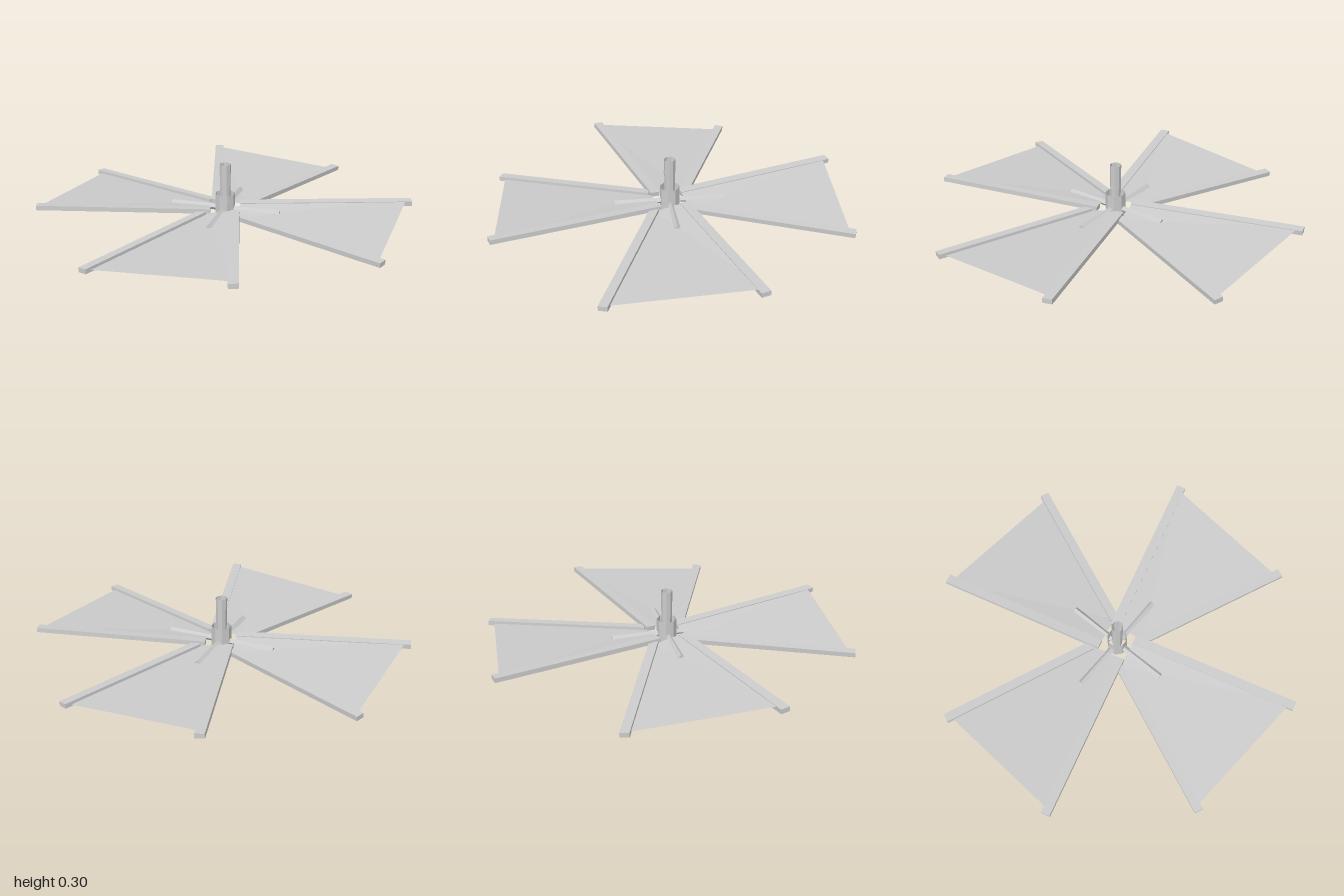
import * as THREE from 'three';

const mat = new THREE.MeshStandardMaterial({ color: 0xcccccc, flatShading: true, side: THREE.DoubleSide });

function add(parent, name, geometry) {
  const mesh = new THREE.Mesh(geometry, mat);
  mesh.name = name;
  parent.add(mesh);
  return mesh;
}

// Rectangular beam between two points [x, z] of the blade plane
function addBeam(parent, name, [x0, z0], [x1, z1], width, height) {
  const beam = add(parent, name, new THREE.BoxGeometry(Math.hypot(x1 - x0, z1 - z0), height, width));
  beam.position.set((x0 + x1) / 2, 0, (z0 + z1) / 2);
  beam.rotation.y = -Math.atan2(z1 - z0, x1 - x0);
  return beam;
}

// Thin panel stretched between the two beams
function sailGeometry() {
  const geometry = new THREE.BufferGeometry();
  geometry.setAttribute('position', new THREE.Float32BufferAttribute([
    0.065, 0.011, -0.075,
    0.936, 0.011, -0.325,
    0.1, -0.003, 0.096,
    0.892, -0.003, 0.424,
  ], 3));
  geometry.setIndex([0, 2, 1, 1, 2, 3]);
  geometry.computeVertexNormals();
  return geometry;
}

function createBlade() {
  const blade = new THREE.Group();
  blade.name = 'blade';
  addBeam(blade, 'highBeam', [0.063, -0.071], [0.963, -0.324], 0.05, 0.025);
  addBeam(blade, 'lowBeam', [0.1, 0.096], [0.916, 0.434], 0.048, 0.025);
  add(blade, 'sail', sailGeometry());
  // Square arm set on its corner
  const arm = add(blade, 'arm', new THREE.BoxGeometry(0.27, 0.024, 0.024));
  arm.position.x = 0.168;
  arm.rotation.x = Math.PI / 4;
  // Pitch of the blade
  blade.rotation.x = 0.06;
  blade.position.y = 0.052;
  return blade;
}

export function createModel() {
  const model = new THREE.Group();
  model.name = 'fan';

  // Open eight-sided hub with a narrower rod rising from it
  const hub = add(model, 'hub', new THREE.CylinderGeometry(0.054, 0.054, 0.135, 8, 1, true));
  hub.position.y = 0.0675;
  hub.rotation.y = Math.PI / 8;
  const rod = add(model, 'rod', new THREE.CylinderGeometry(0.031, 0.027, 0.25, 8, 1, true));
  rod.position.y = 0.175;
  rod.rotation.y = Math.PI / 8;

  // Four blades around the hub
  for (let i = 0; i < 4; i++) {
    const spoke = new THREE.Group();
    spoke.name = 'bladeMount';
    spoke.rotation.y = -0.096 + i * Math.PI / 2;
    spoke.add(createBlade());
    model.add(spoke);
  }
  return model;
}
